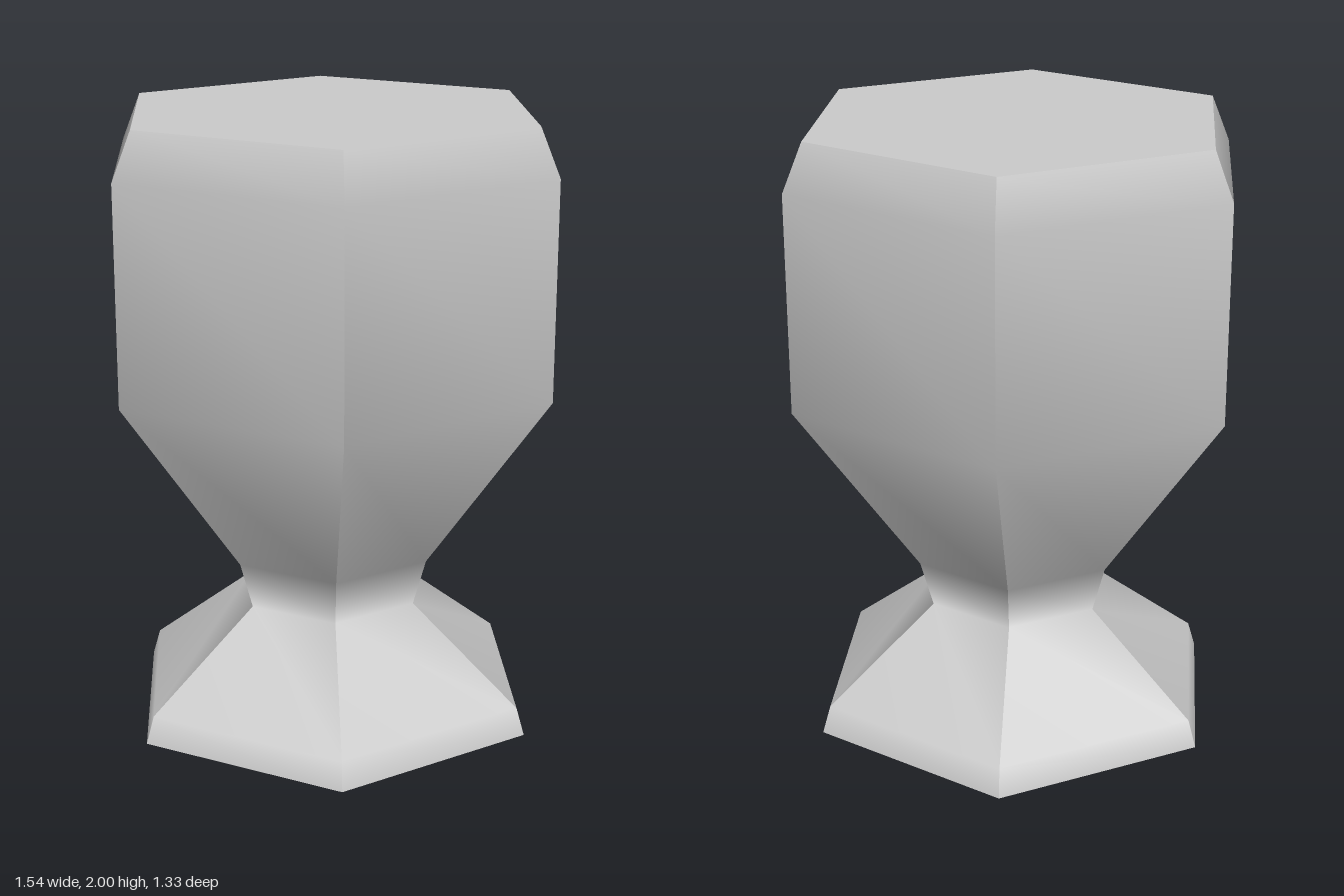
import * as THREE from 'three';

// Corner radius and height, from the foot up to the rim
const PROFILE = [
  [0.71, 0], [0.682, 0.09], [0.305, 0.388], [0.35, 0.545],
  [0.77, 1.148], [0.77, 1.848], [0.703, 2],
].map(([r, y]) => new THREE.Vector2(r, y));
const SIDES = 6;

export function createModel() {
  const group = new THREE.Group();
  group.name = 'hexagonalGoblet';
  const material = new THREE.MeshStandardMaterial({ color: 0xcccccc });

  const add = (name, geometry) => {
    const mesh = new THREE.Mesh(geometry, material);
    mesh.name = name;
    group.add(mesh);
    return mesh;
  };

  // Six side panels: smooth along the profile, sharp at the corners
  const step = (Math.PI * 2) / SIDES;
  for (let i = 0; i < SIDES; i++) {
    const panel = new THREE.LatheGeometry(PROFILE, 1, (i - 0.5) * step, step);
    panel.computeVertexNormals();
    add(`sidePanel${i + 1}`, panel);
  }

  // Flat top and underside
  const top = PROFILE[PROFILE.length - 1];
  const topCap = add('topCap', new THREE.CircleGeometry(top.x, SIDES));
  topCap.rotation.x = -Math.PI / 2;
  topCap.position.y = top.y;

  const footCap = add('footCap', new THREE.CircleGeometry(PROFILE[0].x, SIDES));
  footCap.rotation.x = Math.PI / 2;

  return group;
}
